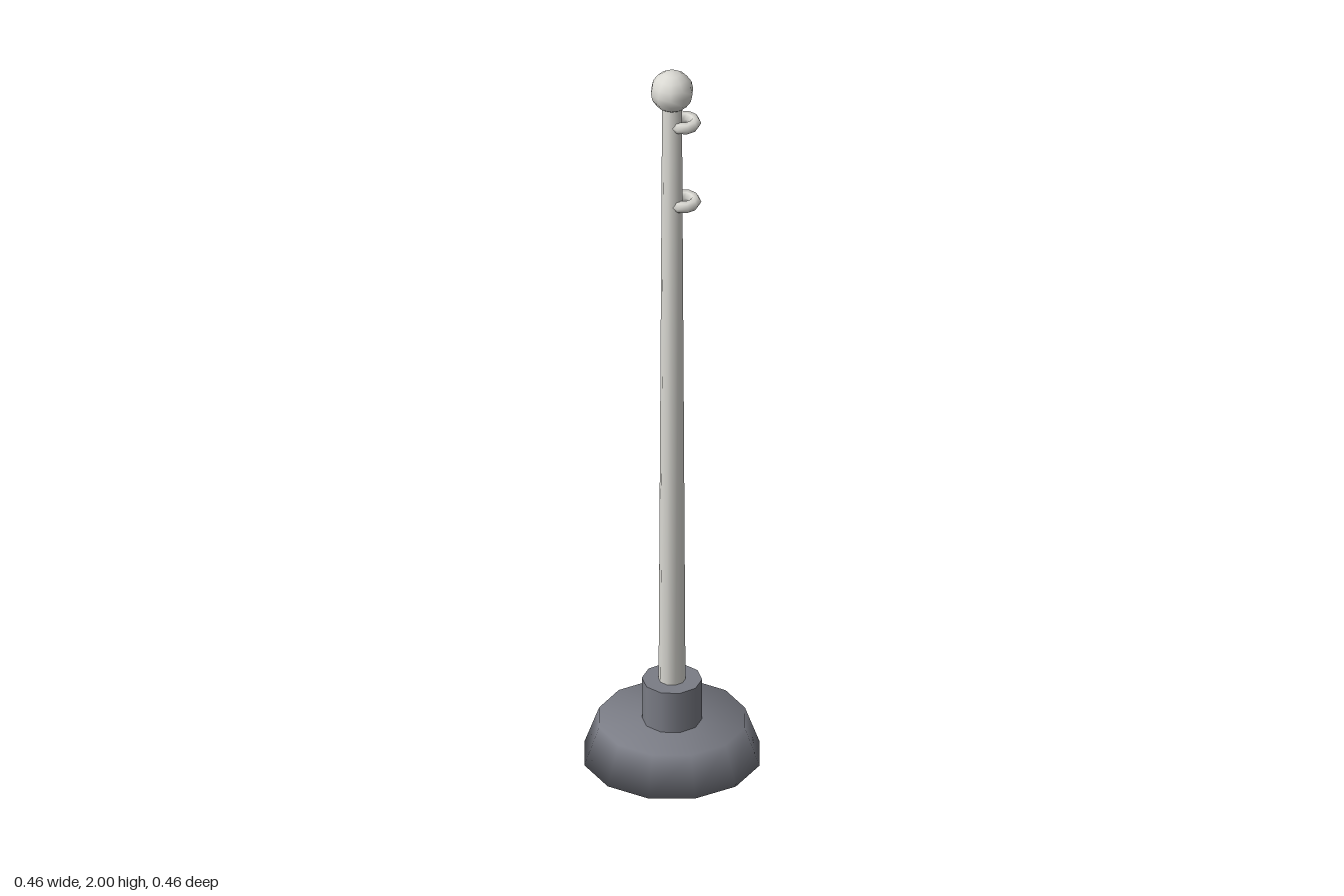
import * as THREE from 'three';
import { mergeVertices } from 'three/addons/utils/BufferGeometryUtils.js';

// Weld all corners so shading flows softly across the edges
function soften(geometry) {
  geometry.deleteAttribute('uv');
  geometry.deleteAttribute('normal');
  const welded = mergeVertices(geometry, 1e-4);
  welded.computeVertexNormals();
  return welded;
}

export function createModel() {
  const model = new THREE.Group();
  const stone = new THREE.MeshStandardMaterial({ color: 0x7a7c85 });
  stone.name = 'greyBase';
  const metal = new THREE.MeshStandardMaterial({ color: 0xdad9d3 });
  metal.name = 'paleMetal';

  const add = (name, geometry, material, x, y) => {
    const mesh = new THREE.Mesh(geometry, material);
    mesh.name = name;
    mesh.position.set(x, y, 0);
    model.add(mesh);
    return mesh;
  };

  // Tapered foot and the collar that holds the pole
  add('base', soften(new THREE.CylinderGeometry(0.19, 0.228, 0.105, 12)), stone, 0, 0.0525);
  add('collar', new THREE.CylinderGeometry(0.076, 0.076, 0.125, 10), stone, 0, 0.1575);

  // Slender tapering pole with a ball on top
  add('pole', soften(new THREE.CylinderGeometry(0.025, 0.034, 1.71, 10)), metal, 0, 1.055);
  add('ball', new THREE.SphereGeometry(0.055, 10, 8), metal, 0, 1.945);

  // Two rings hanging off the left of the pole
  for (const [name, y] of [['upperRing', 1.848], ['lowerRing', 1.617]]) {
    const ring = new THREE.TorusGeometry(0.03, 0.015, 6, 10);
    ring.rotateZ(Math.PI / 10).rotateX(Math.PI / 2);
    add(name, ring, metal, 0.03, y);
  }
  return model;
}
